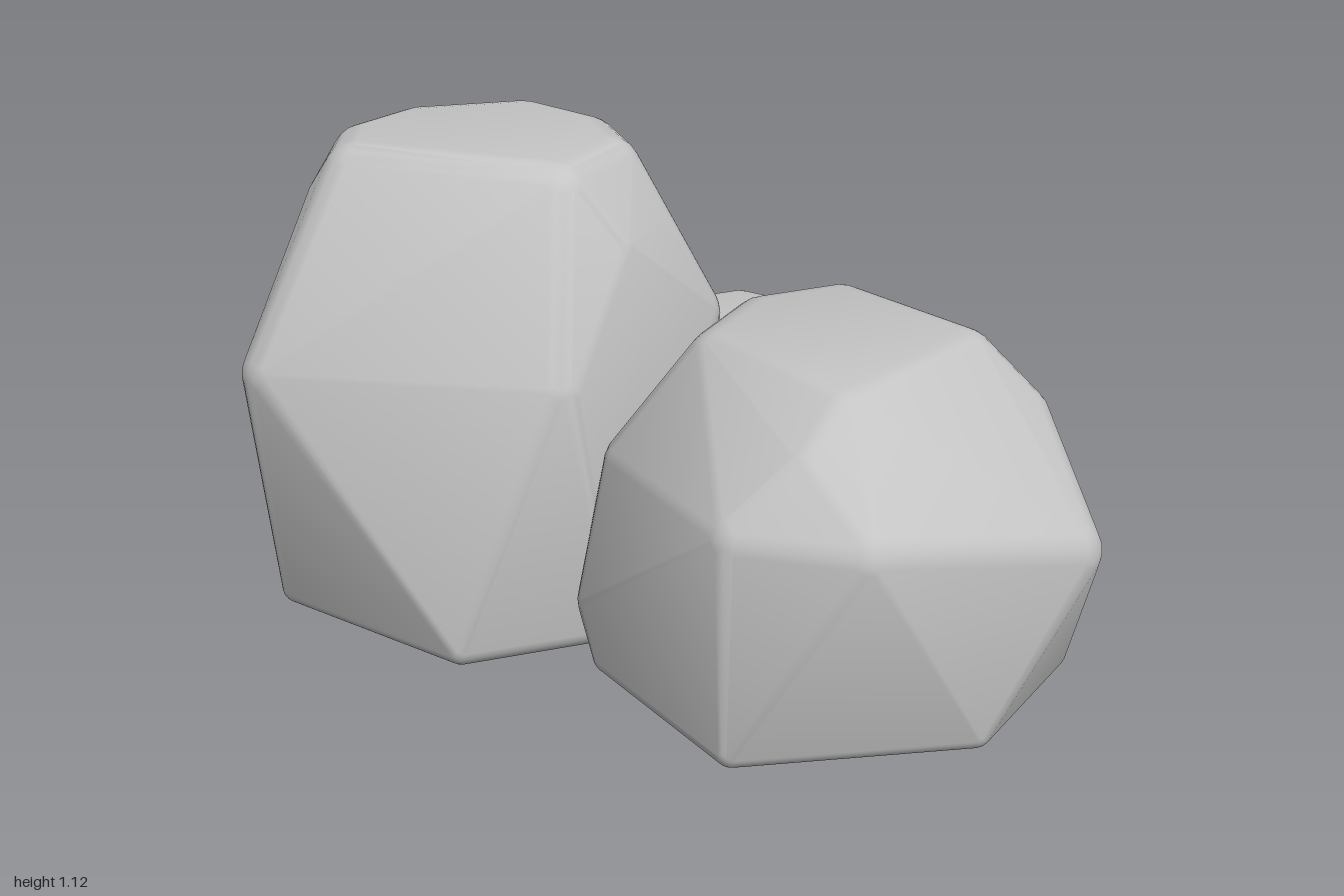
import * as THREE from 'three';
import { ConvexGeometry } from 'three/addons/geometries/ConvexGeometry.js';

const stone = new THREE.MeshStandardMaterial({ color: 0xc4c4c4 });
stone.name = 'grey stone';

const key = (v) => `${v.x.toFixed(4)},${v.y.toFixed(4)},${v.z.toFixed(4)}`;

// Every distinct vector stored in a buffer attribute
function distinct(attribute) {
  const found = new Map();
  for (let i = 0; i < attribute.count; i++) {
    const v = new THREE.Vector3().fromBufferAttribute(attribute, i);
    found.set(key(v), v);
  }
  return [...found.values()];
}

// Faceted boulder with rounded edges: hull of small balls set at the corners
function boulder(name, corners, radius, footRadius) {
  const points = corners.map((c) => new THREE.Vector3(...c));
  const core = new ConvexGeometry(points);
  const directions = [
    ...distinct(new THREE.IcosahedronGeometry(1, 3).attributes.position),
    ...distinct(core.attributes.normal),
  ];
  const centre = new THREE.Box3().setFromPoints(points).getCenter(new THREE.Vector3());
  const normals = new Map();
  const shell = [];
  for (const p of distinct(core.attributes.position)) {
    const r = p.y < 0.05 ? footRadius : radius;
    // Normals splay outwards a little, for a softly worn look
    const outward = p.clone().sub(centre).normalize().multiplyScalar(0.3);
    for (const d of directions) {
      const v = p.clone().addScaledVector(d, r);
      shell.push(v);
      normals.set(key(v), d.clone().add(outward).normalize());
    }
  }
  const geometry = new ConvexGeometry(shell);

  // Smooth normals come from the ball each vertex lies on
  const { position, normal } = geometry.attributes;
  const v = new THREE.Vector3();
  for (let i = 0; i < position.count; i++) {
    const n = normals.get(key(v.fromBufferAttribute(position, i)));
    if (n) normal.setXYZ(i, n.x, n.y, n.z);
  }
  const mesh = new THREE.Mesh(geometry, stone);
  mesh.name = name;
  return mesh;
}

// Lifts a ring of [x, z] pairs to one height
const ring = (y, pairs) => pairs.map(([x, z]) => [x, y, z]);

export function createModel() {
  const group = new THREE.Group();
  group.name = 'boulders';

  group.add(boulder('tallBoulder', [
    // flat top
    ...ring(1.04, [[-0.79, 0], [-0.76, 0.11], [-0.28, 0.11], [-0.23, -0.08], [-0.32, -0.2], [-0.5, -0.27], [-0.72, -0.15]]),
    // shoulders
    [-0.88, 0.63, 0.35], [-0.24, 0.64, 0.27], [-0.06, 0.68, -0.15], [-0.89, 0.66, -0.12],
    [-0.16, 0.9, -0.1], [-0.19, 0.9, 0.07], [-0.34, 0.87, -0.33], [-0.55, 0.87, -0.335], [-0.825, 0.95, 0.08],
    // foot
    ...ring(0.04, [[-0.9, 0.28], [-0.42, 0.44], [-0.14, 0.24], [-0.03, -0.12], [-0.36, -0.515], [-0.6, -0.515], [-0.78, -0.4], [-0.96, -0.12]]),
  ], 0.08, 0.04));

  group.add(boulder('squatBoulder', [
    // flat top
    ...ring(0.72, [[0.13, 0.2], [0.17, 0], [0.46, 0.43], [0.63, 0.05], [0.32, -0.12]]),
    // shoulders
    [0.56, 0.53, 0.635], [0.3, 0.52, 0.63], [0.42, 0.64, 0.545], [-0.05, 0.47, 0.25], [-0.09, 0.16, 0.33],
    [0.92, 0.43, 0.31], [0.76, 0.61, 0.07], [0.73, 0.53, -0.04], [0.6, 0.36, -0.22], [0.35, 0.32, -0.36],
    [0.23, 0.36, -0.31], [0.09, 0.46, -0.16],
    // foot
    ...ring(0.04, [[0.29, 0.675], [0.77, 0.45], [0.87, 0.07], [0.6, -0.22], [0.2, -0.3], [0.02, -0.12], [-0.11, 0.3], [-0.08, 0.38]]),
  ], 0.08, 0.04));

  group.add(boulder('smallBoulder', [
    // top
    ...ring(0.51, [[0.12, -0.41], [-0.14, -0.47], [-0.04, -0.55], [0.04, -0.53], [-0.13, -0.3], [0.08, -0.27]]),
    // shoulders
    [0, 0.36, -0.65], [-0.24, 0.33, -0.5], [-0.18, 0.34, -0.56], [0.17, 0.35, -0.47],
    // foot
    ...ring(0.04, [[0, -0.665], [0.18, -0.54], [0.215, -0.45], [0.05, -0.2], [-0.2, -0.3], [-0.26, -0.5], [-0.2, -0.58]]),
  ], 0.07, 0.04));

  return group;
}
